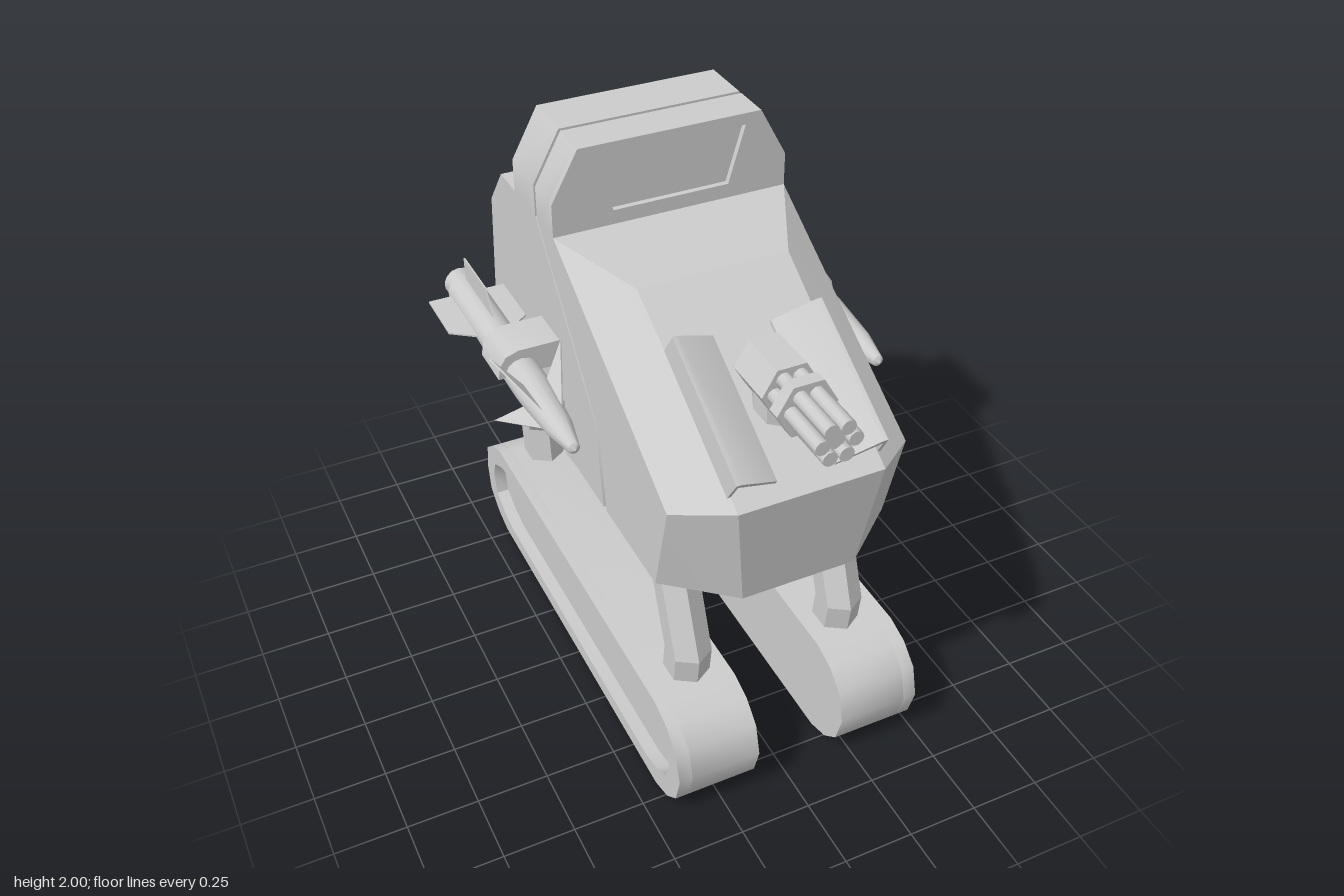
import * as THREE from 'three';
import { toCreasedNormals } from 'three/addons/utils/BufferGeometryUtils.js';

const material = new THREE.MeshStandardMaterial({ color: 0xcccccc, side: THREE.DoubleSide });

function add(parent, name, geometry, crease = 0.6) {
  const mesh = new THREE.Mesh(toCreasedNormals(geometry, crease), material);
  mesh.name = name;
  parent.add(mesh);
  return mesh;
}

const toShape = (pts) => new THREE.Shape(pts.map(([a, b]) => new THREE.Vector2(a, b)));

// Extrude an XY outline from z0 to z1
function extrudeZ(pts, z0, z1, hole) {
  const shape = toShape(pts);
  if (hole) shape.holes.push(toShape(hole));
  return new THREE.ExtrudeGeometry(shape, { depth: z1 - z0, bevelEnabled: false }).translate(0, 0, z0);
}

// Extrude a side outline of [z, y] points from x0 to x1
function extrudeX(pts, x0, x1, hole) {
  const flip = (list) => list.map(([z, y]) => [-z, y]);
  return extrudeZ(flip(pts), x0, x1, hole && flip(hole)).rotateY(Math.PI / 2);
}

// Skin closed rings of Vector3 and cap both ends; u, v are the cap plane axes
function loft(rings, u, v) {
  const n = rings[0].length, index = [];
  for (let i = 0; i < rings.length - 1; i++) {
    for (let j = 0; j < n; j++) {
      const a = i * n + j, b = i * n + (j + 1) % n;
      index.push(a, b, b + n, a, b + n, a + n);
    }
  }
  const last = (rings.length - 1) * n;
  const flat = rings[0].map((p) => new THREE.Vector2(p[u], p[v]));
  for (const [a, b, c] of THREE.ShapeUtils.triangulateShape(flat, [])) {
    index.push(a, c, b, last + a, last + b, last + c);
  }
  const geometry = new THREE.BufferGeometry().setFromPoints(rings.flat());
  geometry.setIndex(index);
  geometry.computeVertexNormals();
  return geometry;
}

function addTrack(parent, side) {
  const outline = (z0, z1, h) => [
    [z0, 0], [z0 - 0.095, -0.55 * h / 0.65], [z0 - 0.19, -h], [z1 + 0.19, -h], [z1 + 0.1, -0.85 * h], [z1 + 0.02, -0.54 * h],
    [z1, 0], [z1 + 0.02, 0.54 * h], [z1 + 0.1, 0.85 * h], [z1 + 0.19, h], [z0 - 0.19, h], [z0 - 0.1, 0.85 * h], [z0 - 0.03, 0.54 * h],
  ].map(([z, y]) => [z, y + 0.2]);
  const outer = outline(0.877, -0.967, 0.2);
  outer[1] = [0.845, 0.09];
  outer.splice(2, 0, [0.777, 0.03]);
  const inner = outline(0.797, -0.888, 0.14);
  inner[1] = [0.767, 0.124];
  inner.splice(2, 0, [0.697, 0.081]);
  const track = new THREE.Group();
  track.name = 'track';
  add(track, 'trackBody', extrudeX(outer, -0.147, 0.1), 0.75);
  add(track, 'trackRim', extrudeX(outer, 0.1, 0.147, inner), 0.75);
  track.position.x = side * 0.306;
  if (side < 0) track.rotation.y = 0;
  track.scale.x = side;
  parent.add(track);
}

// Bent hexagonal leg through [z, y] points from top to bottom
function addLeg(parent, name, side, path) {
  const rings = path.map(([z, y]) => Array.from({ length: 6 }, (_, i) => {
    const a = Math.PI / 6 + i * Math.PI / 3;
    return new THREE.Vector3(side * 0.288 + 0.077 * Math.cos(a), y, z + 0.085 * Math.sin(a));
  }));
  add(parent, name, loft(rings, 'x', 'z'), 0.3);
}

function addMissile(parent, side, finned) {
  const missile = new THREE.Group();
  missile.name = 'missile';
  const profile = [[0, 0.335], [0.02, 0.32], [0.045, 0.2], [0.063, -0.02], [0.063, -0.71], [0.03, -0.71], [0.058, -0.765], [0, -0.74]];
  const body = new THREE.LatheGeometry(profile.map(([r, z]) => new THREE.Vector2(r, z)).reverse(), 14);
  add(missile, 'missileBody', body.rotateX(Math.PI / 2));
  if (finned) {
    const rear = [[0.05, -0.39], [0.145, -0.46], [0.145, -0.68], [0.05, -0.68]];
    const front = [[0.05, 0.14], [0.175, -0.08], [0.05, 0.0]];
    for (let i = 0; i < 8; i++) {
      const fin = extrudeZ(i % 2 ? front : rear, -0.003, 0.003).rotateX(Math.PI / 2);
      add(missile, i % 2 ? 'frontFin' : 'rearFin', fin).rotation.z = i * Math.PI / 4;
    }
  }
  missile.position.set(side * 0.55, 1.23, 0);
  parent.add(missile);
  const pylon = [[0.4, 1.23], [0.635, 1.23], [0.628, 1.275], [0.605, 1.31], [0.56, 1.325], [0.4, 1.325]];
  add(parent, 'pylon', extrudeZ(pylon.map(([x, y]) => [side * x, y]), -0.29, -0.125));
}

function addHull(parent) {
  // Faceted nose: full-width sides stepping out to a narrower centre
  const seam = [[0.235, 0.86], [0.19, 1.17], [0.08, 1.3]];
  const sidePts = [[-0.27, 1.71], [-0.13, 1.71], [-0.13, 1.71], [0.71, 1.21], [0.62, 0.86], ...seam];
  const midPts = [[-0.27, 1.71], [-0.13, 1.71], [0.18, 1.655], [0.85, 1.255], [0.8, 0.86], ...seam];
  const midX = [0.265, 0.265, 0.265, 0.25, 0.2, 0.2, 0.25, 0.25];
  const ring = (pts, x) => pts.map(([z, y], i) => new THREE.Vector3(x(i), y, z));
  add(parent, 'noseHull', loft([
    ring(sidePts, () => -0.415), ring(midPts, (i) => -midX[i]),
    ring(midPts, (i) => midX[i]), ring(sidePts, () => 0.415),
  ], 'y', 'z'), 0.1);

  add(parent, 'rearHull', extrudeX([
    [-0.285, 1.71], [-0.607, 1.71], [-0.734, 1.555], [-0.78, 1.105], [-0.55, 1.06],
    [-0.335, 0.865], [0.21, 0.86], [0.165, 1.17], [0.06, 1.3],
  ], -0.415, 0.415));
  add(parent, 'seamCore', extrudeX([[-0.2, 1.69], [-0.35, 1.69], [0.1, 0.9], [0.3, 0.9], [0.25, 1.2]], -0.4, 0.4));

  // Split head with a recessed front panel
  const head = (s) => [[-0.415, 1.71], [0.415, 1.71], [0.415, 1.825], [0.32, 2], [-0.32, 2], [-0.415, 1.825]]
    .map(([x, y]) => [x * s, 1.71 + (y - 1.71) * s]);
  const panel = [[-0.205, 1.76], [0.205, 1.76], [0.265, 1.96], [-0.265, 1.96]];
  add(parent, 'headFrame', extrudeZ(head(1), -0.15, -0.13, panel));
  add(parent, 'headFront', extrudeZ(head(1), -0.27, -0.15));
  add(parent, 'headRear', extrudeZ(head(1), -0.475, -0.285));
  add(parent, 'headCore', extrudeZ(head(0.95), -0.3, -0.25));

  // Belly frame
  add(parent, 'bellyFront', extrudeX([[0.37, 0.87], [0.37, 0.8], [0.2, 0.785], [0.185, 0.87]], -0.365, 0.365));
  const rail = [[0.165, 0.87], [0.165, 0.785], [-0.255, 0.735], [-0.255, 0.87]];
  for (const s of [-1, 1]) add(parent, 'bellyRail', extrudeX(rail, s * 0.32 - 0.045, s * 0.32 + 0.045));
  add(parent, 'bellyCrossbar', extrudeX([[0.165, 0.87], [0.165, 0.785], [0.12, 0.78], [0.12, 0.87]], -0.28, 0.28));
  add(parent, 'bellyCrossbar', extrudeX([[-0.2, 0.87], [-0.2, 0.742], [-0.255, 0.735], [-0.255, 0.87]], -0.28, 0.28));

  // Rear drum with two grooves
  const drum = (r, x0, x1) => new THREE.CylinderGeometry(r, r, x1 - x0, 24)
    .rotateZ(Math.PI / 2).translate((x0 + x1) / 2, 0.948, -0.535);
  add(parent, 'drumCore', drum(0.198, -0.3, 0.3));
  add(parent, 'drumMiddle', drum(0.213, -0.19, 0.19));
  for (const s of [-1, 1]) add(parent, 'drumEnd', drum(0.213, s * 0.288 - 0.08, s * 0.288 + 0.08));
}

function addGun(parent) {
  // Slanted shields lying along the hood
  const hood = new THREE.Group();
  hood.name = 'gunShields';
  hood.position.set(0, 1.655, 0.18);
  hood.rotation.x = 0.539;
  for (const s of [-1, 1]) {
    const outline = [[0.1, 0], [0.245, 0.07], [0.25, 0], [0.262, 0], [0.255, 0.088], [0.235, 0.086], [0.1, 0.015]];
    add(hood, 'shield', extrudeZ(outline.map(([x, y]) => [s * x, y]), 0.22, 0.72));
  }
  parent.add(hood);

  const gun = new THREE.Group();
  gun.name = 'rotaryGun';
  gun.position.set(0, 1.522, 0);
  const prism = (r, z0, z1, sides) => new THREE.CylinderGeometry(r, r, z1 - z0, sides)
    .rotateY(Math.PI / 2).rotateX(Math.PI / 2).translate(0, 0, (z0 + z1) / 2);
  add(gun, 'gunHousing', prism(0.098, 0.51, 0.69, 6));
  add(gun, 'barrelClamp', prism(0.102, 0.745, 0.79, 6));
  add(gun, 'barrelCore', prism(0.035, 0.68, 0.95, 8));
  for (let i = 0; i < 6; i++) {
    const a = i * Math.PI / 3;
    add(gun, 'barrel', prism(0.025, 0.68, 0.972, 10).translate(0.055 * Math.cos(a), 0.055 * Math.sin(a), 0), 0.8);
  }
  const post = add(gun, 'gunPost', new THREE.CylinderGeometry(0.07, 0.07, 0.22, 8));
  post.position.set(0, -0.08, 0.59);
  parent.add(gun);
}

export function createModel() {
  const model = new THREE.Group();
  model.name = 'walkerTank';
  const body = new THREE.Group();
  body.name = 'body';
  body.position.x = 0.03;
  model.add(body);

  addHull(body);
  addGun(body);
  for (const side of [-1, 1]) {
    addTrack(body, side);
    addLeg(body, 'frontLeg', side, [[0.445, 0.89], [0.596, 0.5], [0.58, 0.38]]);
    addLeg(body, 'rearLeg', side, [[-0.56, 0.8], [-0.737, 0.54], [-0.72, 0.38]]);
    addMissile(body, side, side < 0);
  }
  model.updateMatrixWorld(true);
  return model;
}
